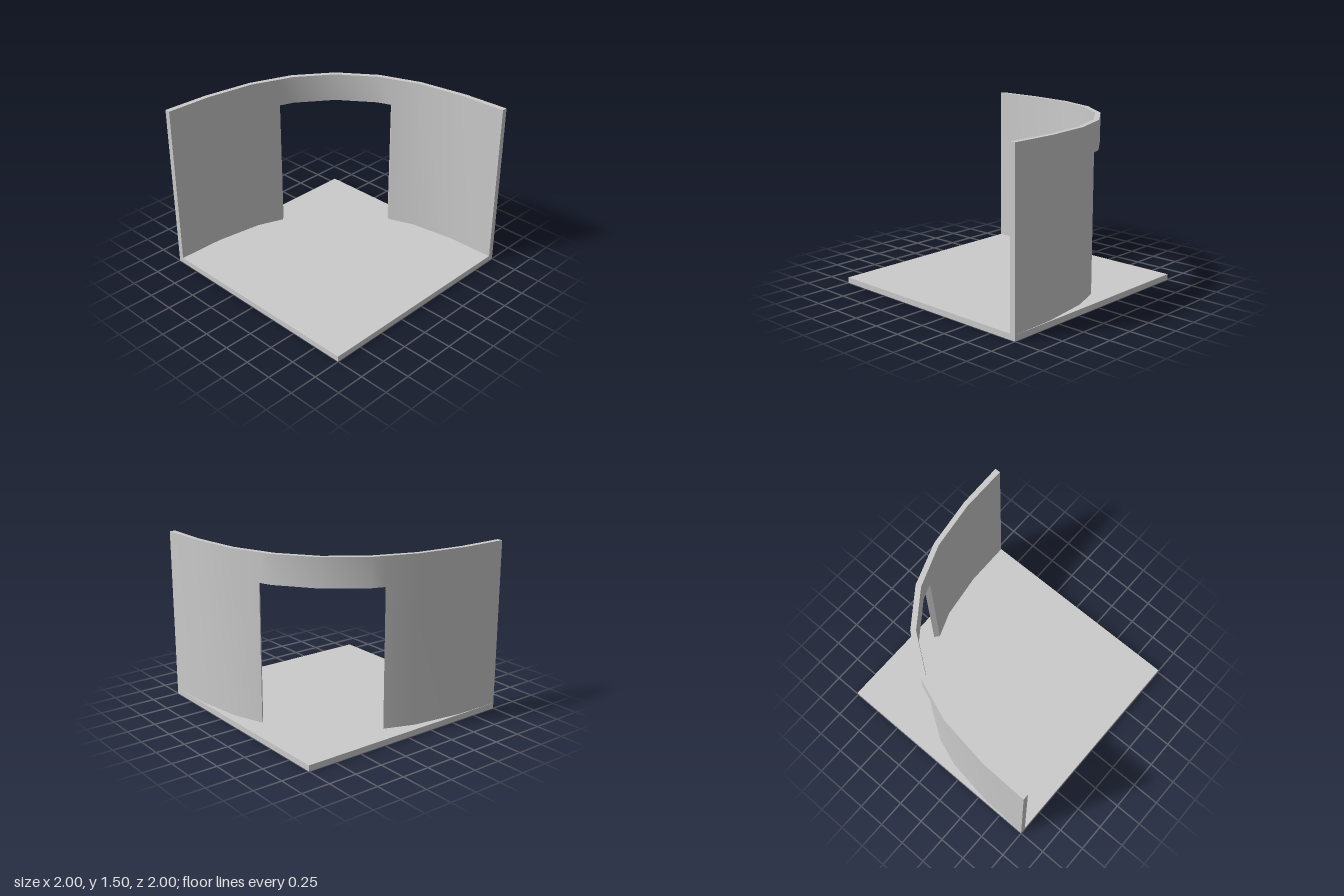
import * as THREE from 'three';
import { toCreasedNormals } from 'three/addons/utils/BufferGeometryUtils.js';

const FLOOR = 0.05, DOOR_TOP = 1.25, WALL_TOP = 1.5;

// Wall stations along one half: [outer x, outer z, inner x, inner z, underside height]
function wallStations() {
  const half = [
    [-1, 1, -0.95, 1, FLOOR],
    [-0.99, 0.59, -0.945, 0.58, FLOOR],
    [-0.927, 0.145, -0.885, 0.155, FLOOR],
    [-0.83, -0.12, -0.795, -0.08, FLOOR],
    [-0.83, -0.12, -0.795, -0.08, DOOR_TOP], // step up: door jamb
    [-0.79, -0.23, -0.745, -0.213, DOOR_TOP],
  ];
  const middle = [-0.553, -0.553, -0.52, -0.52, DOOR_TOP];
  // The other half mirrors across the diagonal
  const mirrored = half.map(([ox, oz, ix, iz, y]) => [oz, ox, iz, ix, y]).reverse();
  return [...half, middle, ...mirrored];
}

// Sweep a rectangular section along the stations
function wallGeometry() {
  const rings = wallStations().map(([ox, oz, ix, iz, y]) => [
    [ox, y, oz], [ox, WALL_TOP, oz], [ix, WALL_TOP, iz], [ix, y, iz],
  ]);
  const pos = [];
  const quad = (a, b, c, d) => pos.push(...a, ...b, ...c, ...a, ...c, ...d);

  for (let i = 0; i < rings.length - 1; i++) {
    const a = rings[i], b = rings[i + 1];
    const isJamb = a[0][0] === b[0][0] && a[0][2] === b[0][2];
    // A jamb only needs the face closing the step in the underside
    for (let k = isJamb ? 3 : 0; k < 4; k++) {
      const n = (k + 1) % 4;
      quad(a[k], a[n], b[n], b[k]);
    }
  }
  const s = rings[0], e = rings[rings.length - 1];
  quad(s[0], s[3], s[2], s[1]);
  quad(e[0], e[1], e[2], e[3]);

  const geo = new THREE.BufferGeometry();
  geo.setAttribute('position', new THREE.Float32BufferAttribute(pos, 3));
  return toCreasedNormals(geo, 0.6);
}

export function createModel() {
  const group = new THREE.Group();
  const material = new THREE.MeshStandardMaterial({ color: 0xcccccc });

  // Square floor slab
  const floor = new THREE.Mesh(new THREE.BoxGeometry(2, FLOOR, 2), material);
  floor.position.y = FLOOR / 2;
  floor.name = 'floor';

  // Curved wall with a doorway
  const wall = new THREE.Mesh(wallGeometry(), material);
  wall.name = 'curvedWall';

  group.add(floor, wall);
  return group;
}
